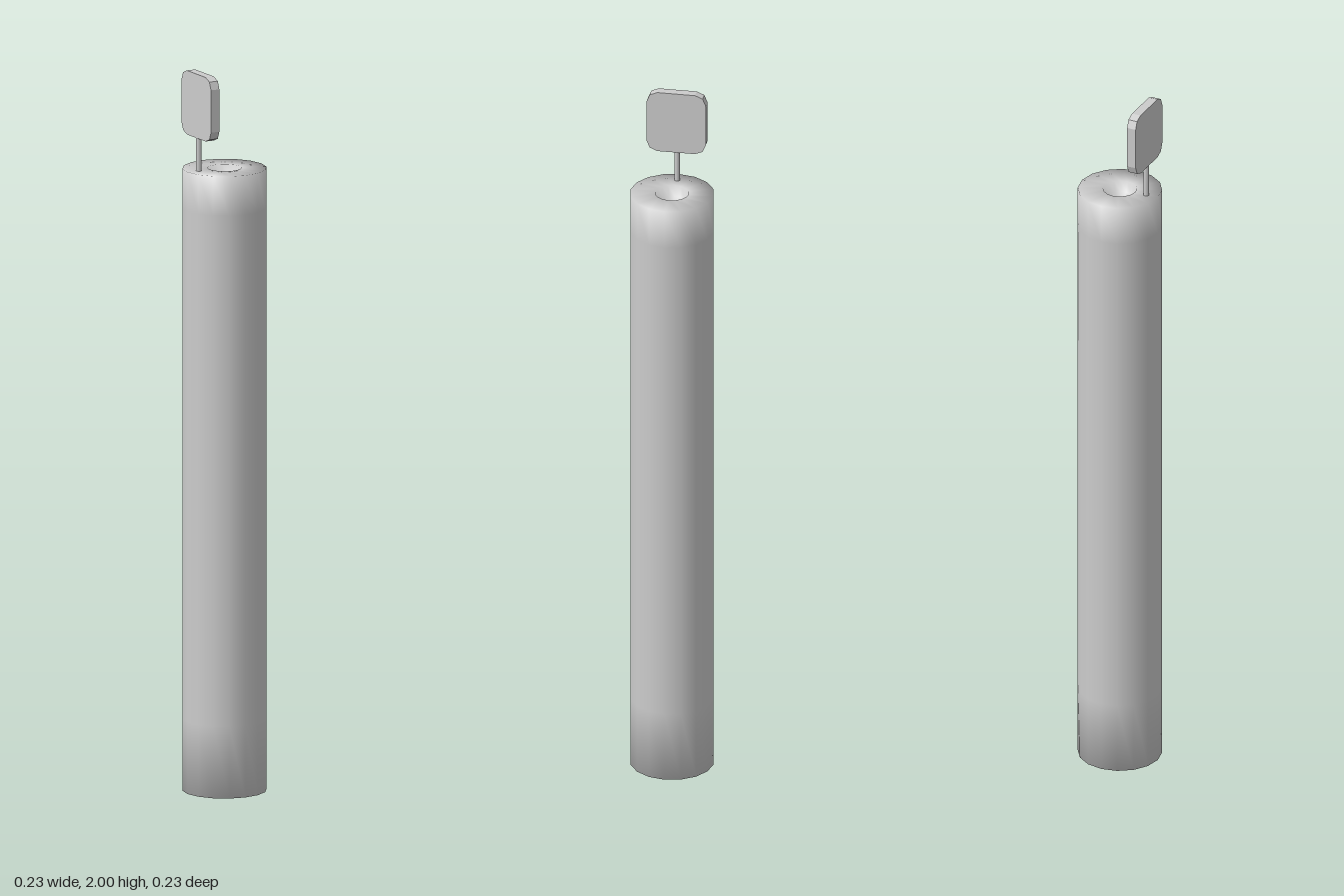
import * as THREE from 'three';

export function createModel() {
  const model = new THREE.Group();
  const grey = new THREE.MeshStandardMaterial({ color: 0xcccccc });
  grey.name = 'light grey';

  const add = (name, geometry) => {
    const mesh = new THREE.Mesh(geometry, grey);
    mesh.name = name;
    model.add(mesh);
    return mesh;
  };

  // Tall tube body with a shallow round recess in its top
  const profile = [
    [0, 0], [0.115, 0], [0.115, 0.2], [0.115, 1.62], [0.115, 1.73],
    [0.046, 1.73], [0.04, 1.7], [0, 1.69],
  ].map(([r, y]) => new THREE.Vector2(r, y));
  add('body', new THREE.LatheGeometry(profile, 16));

  // Thin pin holding the tag above the rim
  const pin = add('pin', new THREE.CylinderGeometry(0.008, 0.008, 0.13, 8));
  pin.position.set(-0.08, 1.775, 0);

  // Upright square tag with cut corners
  const w = 0.082, h = 0.089, r = 0.03;
  const outline = new THREE.Shape();
  outline.absarc(w - r, h - r, r, 0, Math.PI / 2);
  outline.absarc(-w + r, h - r, r, Math.PI / 2, Math.PI);
  outline.absarc(-w + r, -h + r, r, Math.PI, Math.PI * 1.5);
  outline.absarc(w - r, -h + r, r, Math.PI * 1.5, Math.PI * 2);
  outline.closePath();
  const plate = new THREE.ExtrudeGeometry(outline, { depth: 0.026, bevelEnabled: false, curveSegments: 1 });
  plate.rotateY(Math.PI / 2);
  const tag = add('tag', plate);
  tag.position.set(-0.088, 1.911, 0);

  return model;
}
